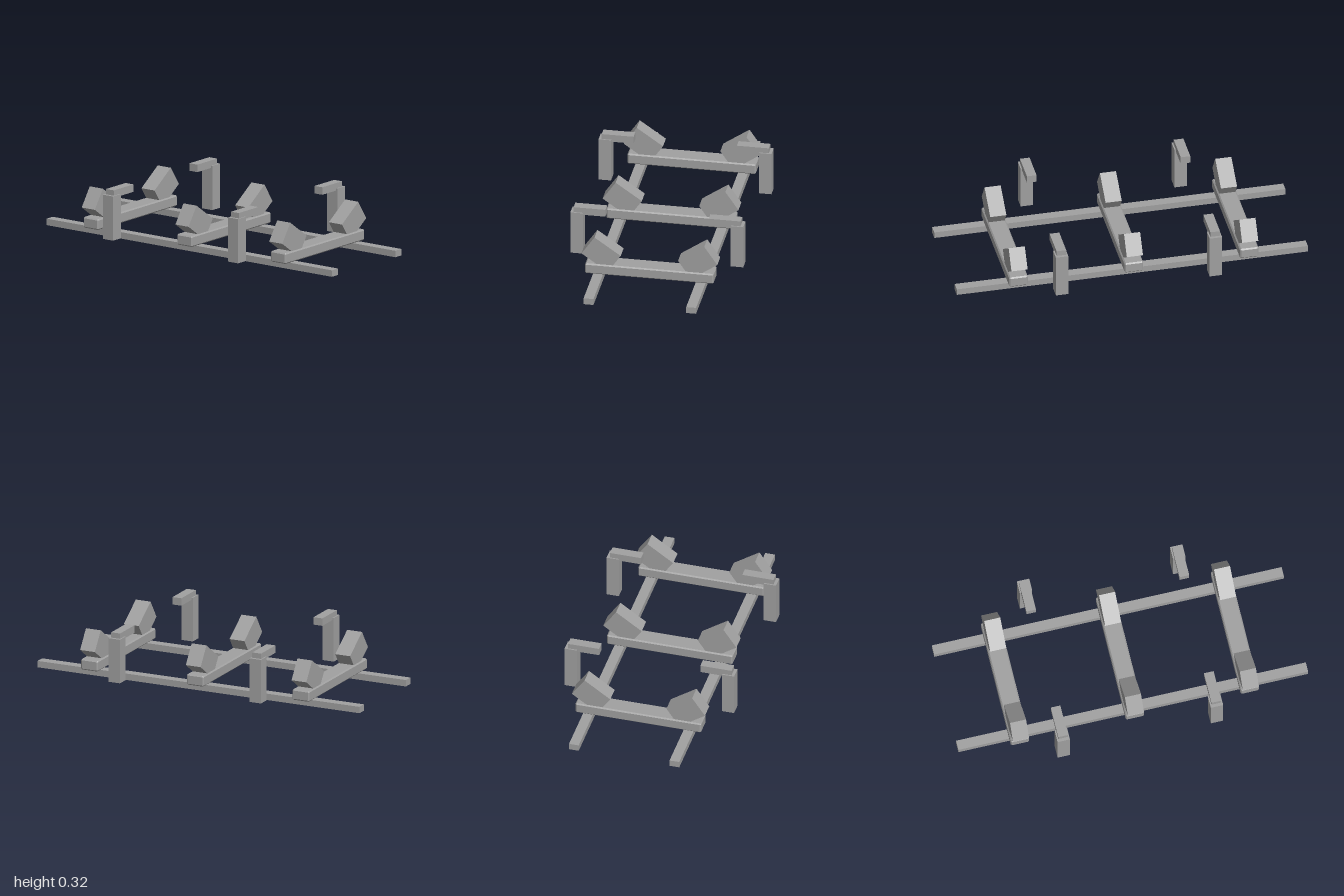
import * as THREE from 'three';
import { ConvexGeometry } from 'three/addons/geometries/ConvexGeometry.js';

const grey = new THREE.MeshStandardMaterial({ color: 0xa0a0a0 });
grey.name = 'plainGrey';

// Box with every edge cut by a small flat chamfer
function chamferedBox(w, h, d, c) {
  const points = [];
  for (const sx of [-1, 1]) for (const sy of [-1, 1]) for (const sz of [-1, 1]) {
    for (let axis = 0; axis < 3; axis++) {
      const half = [w / 2, h / 2, d / 2].map((v, i) => (i === axis ? v : v - c));
      points.push(new THREE.Vector3(sx * half[0], sy * half[1], sz * half[2]));
    }
  }
  return new ConvexGeometry(points);
}

export function createModel() {
  const model = new THREE.Group();
  model.name = 'cradleFrame';

  const add = (name, geometry, x, y, z, tilt = 0) => {
    const mesh = new THREE.Mesh(geometry, grey);
    mesh.name = name;
    mesh.position.set(x, y, z);
    mesh.rotation.z = tilt;
    model.add(mesh);
  };

  const railGeo = new THREE.BoxGeometry(0.056, 0.037, 2);
  const beamGeo = chamferedBox(0.726, 0.062, 0.106, 0.007);
  const blockGeo = new THREE.BoxGeometry(0.18, 0.13, 0.092);
  const postGeo = new THREE.BoxGeometry(0.071, 0.253, 0.071);
  const armGeo = new THREE.BoxGeometry(0.18, 0.043, 0.055);

  // Cross beams resting on the rails
  for (const z of [-0.657, 0, 0.657]) add('crossBeam', beamGeo, 0, 0.068, z);

  for (const side of [-1, 1]) {
    const label = side > 0 ? 'left' : 'right';
    // Long ground rail
    add(label + 'Rail', railGeo, side * 0.29, 0.0185, 0);
    // Tilted chocks sunk into each beam
    for (const z of [-0.657, 0, 0.657]) {
      add(label + 'Chock', blockGeo, side * 0.273, 0.16, z, side * 0.603);
    }
    // Free-standing posts with inward clamp arms
    for (const z of [-0.438, 0.438]) {
      add(label + 'Post', postGeo, side * 0.4535, 0.1585, z);
      add(label + 'ClampArm', armGeo, side * 0.382, 0.294, z);
    }
  }
  return model;
}
